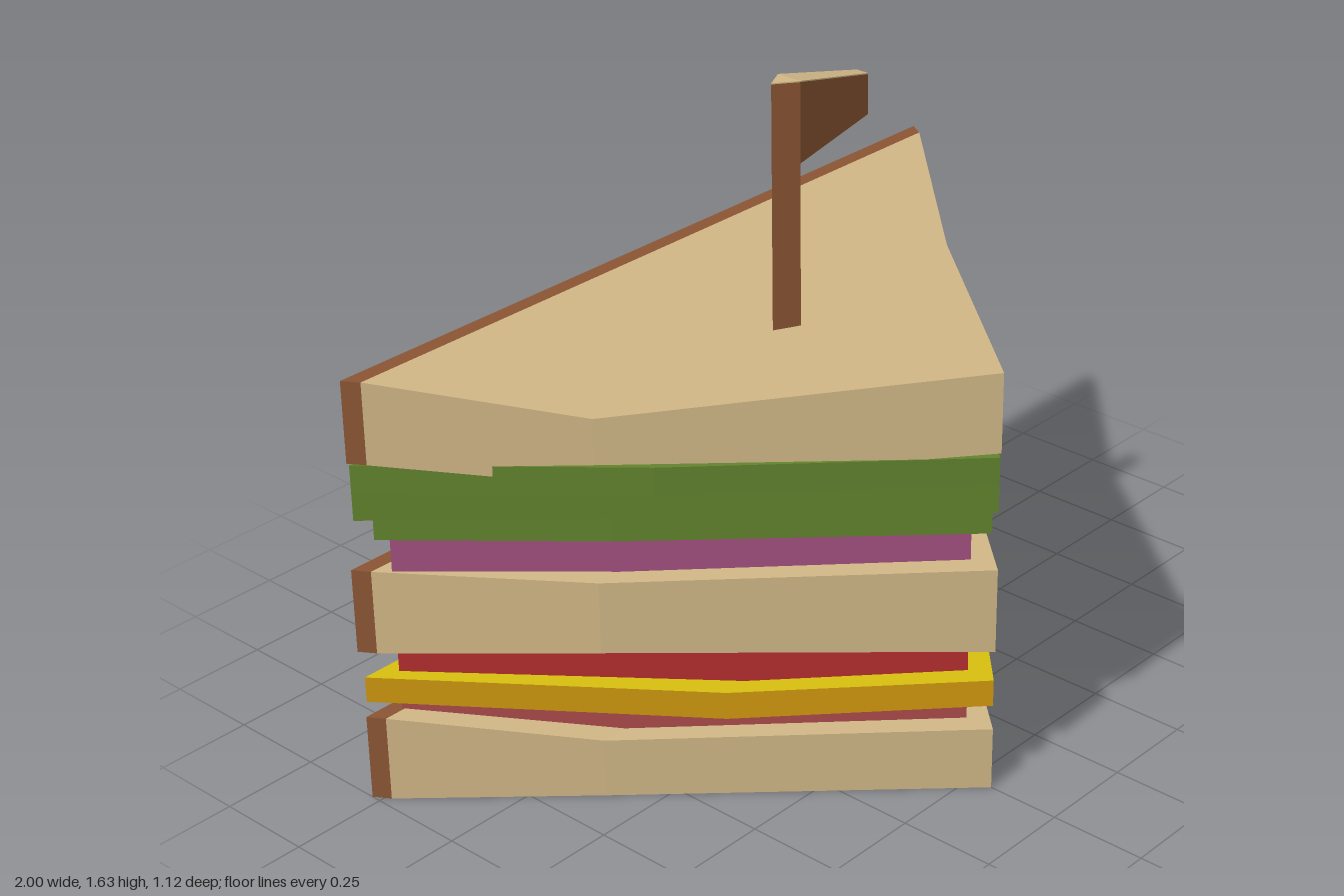
import * as THREE from 'three';

const mat = (name, color) => {
  const m = new THREE.MeshStandardMaterial({ color });
  m.name = name;
  return m;
};

// Prism from corners [x, z, bottom, top], counter-clockwise from above.
// Group 0 = sides, group 1 = top and bottom caps.
function prism(name, pts, side, cap = side) {
  const n = pts.length, sides = [], caps = [];
  const lo = i => [pts[i][0], pts[i][2], pts[i][1]];
  const hi = i => [pts[i][0], pts[i][3], pts[i][1]];
  for (let i = 0; i < n; i++) {
    const j = (i + 1) % n;
    sides.push(lo(i), lo(j), hi(j), lo(i), hi(j), hi(i));
  }
  for (let i = 0; i < n - 2; i++) {
    caps.push(hi(n - 1), hi(i), hi(i + 1), lo(n - 1), lo(i + 1), lo(i));
  }
  const g = new THREE.BufferGeometry();
  g.setAttribute('position', new THREE.Float32BufferAttribute([...sides, ...caps].flat(), 3));
  g.computeVertexNormals();
  g.addGroup(0, sides.length, 0);
  g.addGroup(sides.length, caps.length, 1);
  const mesh = new THREE.Mesh(g, side === cap ? side : [side, cap]);
  mesh.name = name;
  return mesh;
}

// Wedge layer: tip z, back corner [x, z], side points, and [bottom, top] for tip, sides, back
function wedge(name, tipZ, back, right, left, [tip, mid, rear], side, cap) {
  return prism(name, [
    [0, tipZ, ...tip], [...right, ...mid], [back[0], back[1], ...rear],
    [-back[0], back[1], ...rear], [...left, ...mid],
  ], side, cap);
}

export function createModel() {
  const root = new THREE.Group();
  root.name = 'sandwich';
  const bread = mat('bread', 0xd2b887), crust = mat('crust', 0x8b5533);
  const lettuce = mat('lettuce', 0x62842e), onion = mat('onion', 0xa35180);
  const tomato = mat('tomato', 0xb62f2f), ham = mat('ham', 0xae4c4c);
  const cheese = mat('cheese', 0xd8c010), cheeseEdge = mat('cheese edge', 0xd1990f);

  // Bread slices with a crust strip along the back
  const slice = (name, x, z, heights) => {
    const [b, t] = heights[2];
    root.add(wedge(name, 0.56, [x, z], [0.63, -0.11], [-0.63, -0.11], heights, bread));
    root.add(prism(name + 'Crust', [
      [-x, z, b, t], [x, z, b, t], [x + 0.025, z - 0.04, b, t], [-x - 0.025, z - 0.04, b, t],
    ], crust));
  };
  slice('bottomBread', 0.975, -0.485, [[0, 0.165], [0, 0.155], [0, 0.225]]);
  slice('middleBread', 0.955, -0.523, [[0.38, 0.6], [0.397, 0.585], [0.38, 0.6]]);
  slice('topBread', 0.975, -0.485, [[0.905, 1.108], [0.84, 1.01], [0.9, 1.108]]);

  // Small straight fillings
  const filling = (name, b, t, m) => root.add(wedge(name, 0.48, [0.92, -0.49],
    [0.55, -0.1], [-0.55, -0.1], [[b, t], [b, t], [b, t]], m));
  filling('ham', 0.14, 0.25, ham);
  filling('tomato', 0.27, 0.392, tomato);
  filling('onion', 0.575, 0.7, onion);

  // Bent cheese slice
  root.add(wedge('cheese', 0.558, [0.995, -0.525], [0.6, 0], [-0.43, 0.1],
    [[0.23, 0.3], [0.208, 0.28], [0.265, 0.332]], cheeseEdge, cheese));

  // Lettuce leaves
  const leaf = (name, tipZ, back, right, left, b, t) =>
    root.add(wedge(name, tipZ, back, right, left, [[b, t], [b, t], [b, t]], lettuce));
  leaf('lowerLettuce', 0.54, [0.953, -0.505], [0.6, -0.09], [-0.6, -0.09], 0.69, 0.75);
  leaf('middleLettuce', 0.557, [0.993, -0.525], [0.78, -0.2], [-0.6, -0.09], 0.75, 0.82);
  leaf('upperLettuce', 0.557, [0.993, -0.525], [0.76, -0.24], [-0.55, 0], 0.82, 0.893);

  // Three-sided stick and tapered flag
  root.add(prism('flagStick', [
    [-0.025, -0.11, 1.0, 1.63], [0.03, -0.07, 1.0, 1.63], [0.03, -0.138, 1.0, 1.63],
  ], crust));
  root.add(prism('flag', [
    [0.03, -0.07, 1.43, 1.63], [0.27, -0.07, 1.48, 1.58],
    [0.27, -0.105, 1.48, 1.58], [0.03, -0.138, 1.43, 1.63],
  ], crust));

  // Pale plates on top of the flag and stick
  root.add(prism('flagTop', [
    [-0.025, -0.11, 1.63, 1.633], [0.03, -0.07, 1.63, 1.633], [0.27, -0.07, 1.58, 1.583],
    [0.27, -0.105, 1.58, 1.583], [0.03, -0.138, 1.63, 1.633],
  ], bread));
  return root;
}
